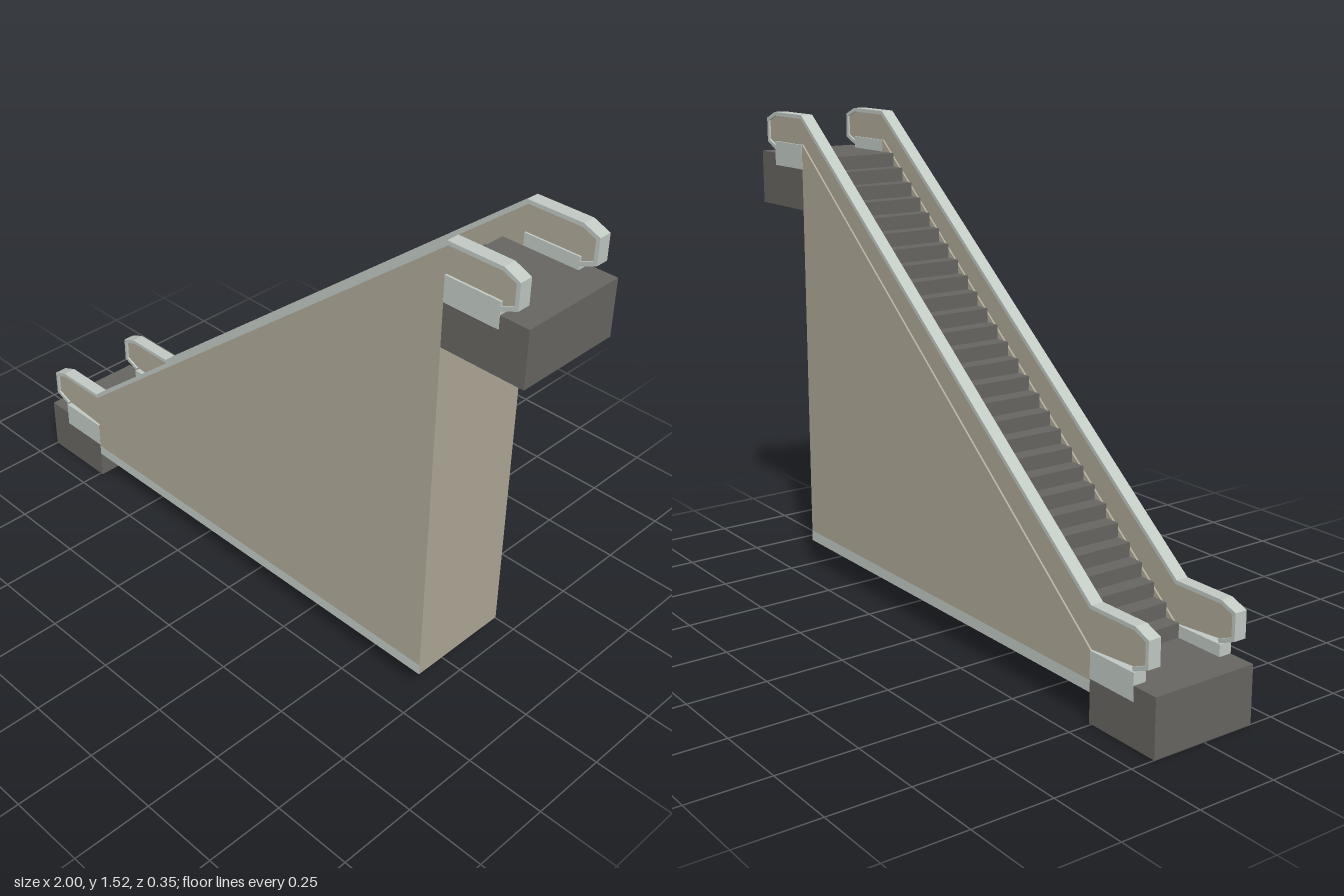
import * as THREE from 'three';

const mat = (name, color) => {
  const m = new THREE.MeshStandardMaterial({ color });
  m.name = name;
  return m;
};

export function createModel() {
  const beige = mat('beige cladding', 0xb0a999);
  const metal = mat('pale metal', 0xc2cac4);
  const dark = mat('dark grey', 0x686662);

  const group = new THREE.Group();
  group.name = 'escalator';
  const W = 0.173, IN = 0.132; // outer and inner faces of the sides
  const X0 = -0.74, X1 = 0.735; // ends of the sloping part

  const add = (name, geometry, material) => {
    const mesh = new THREE.Mesh(geometry, material);
    mesh.name = name;
    group.add(mesh);
    return mesh;
  };
  const box = (name, x0, x1, y0, y1, z0, z1, material) => {
    const mesh = add(name, new THREE.BoxGeometry(x1 - x0, y1 - y0, z1 - z0), material);
    mesh.position.set((x0 + x1) / 2, (y0 + y1) / 2, (z0 + z1) / 2);
  };
  // Side profile extruded across z
  const slab = (name, points, z0, z1, material) => {
    const shape = new THREE.Shape(points.map(([x, y]) => new THREE.Vector2(x, y)));
    const geometry = new THREE.ExtrudeGeometry(shape, { depth: z1 - z0, bevelEnabled: false });
    add(name, geometry.translate(0, 0, z0), material);
  };
  // Moves an open path to its right by d, with mitred corners
  const inset = (path, d) => path.map(([x, y], i) => {
    const normal = (a, b) => new THREE.Vector2(b[1] - a[1], a[0] - b[0]).normalize();
    const n1 = normal(path[Math.max(i - 1, 0)], path[Math.max(i, 1)]);
    const last = path.length - 1;
    const n2 = normal(path[Math.min(i, last - 1)], path[Math.min(i + 1, last)]);
    const k = d / (1 + n1.dot(n2));
    return [x + (n1.x + n2.x) * k, y + (n1.y + n2.y) * k];
  });

  // Landings
  box('lowerLanding', -1, X0, 0, 0.175, -W, W, dark);
  box('upperLanding', X1, 1, 1.22, 1.392, -W, W, dark);

  // Base trim, with its ends clad like the body
  box('baseTrim', X0, X1, 0.09, 0.125, -W, W, [beige, beige, metal, metal, metal, metal]);

  // Body under the stairs
  slab('bodyCore', [[X0, 0.125], [X1, 0.125], [X1, 1.3], [X0, 0.13]], -IN, IN, beige);

  // Stairs: sawtooth top with a straight underside
  const count = 28, startX = -0.755, run = 0.0527, rise = (1.392 - 0.175) / count;
  const stairs = [[startX, 0.15]];
  for (let i = 0; i < count; i++) {
    const x = startX + i * run, y = 0.175 + (i + 1) * rise;
    stairs.push([x, y - rise], [x, y]);
  }
  stairs.push([X1, 1.392], [X1, 1.29], [X0, 0.12]);
  slab('steps', stairs, -IN, IN, dark);

  // Handrail path from the lower end over the top to the upper end
  const rail = [
    [-0.91, 0.213], [-0.968, 0.237], [-0.968, 0.318], [-0.915, 0.339], [X0, 0.339],
    [X1, 1.525], [0.91, 1.525], [0.962, 1.503], [0.962, 1.425], [0.91, 1.403],
  ];
  const inner = inset(rail, 0.012);
  const panel = [...inner, [X1, 1.43], [X0, 0.211]];

  for (const [side, s] of [['left', 1], ['right', -1]]) {
    const span = (a, b) => (s > 0 ? [a, b] : [-b, -a]);
    const wall = [[X0, 0.125], [X1, 0.125], [X1, 1.432], [X0, 0.211]];
    slab(side + 'Wall', wall, ...span(IN, W), beige);
    slab(side + 'Panel', panel, ...span(IN + 0.006, W - 0.006), beige);
    slab(side + 'Handrail', [...rail, ...inner.slice().reverse()], ...span(IN, W), metal);
    box(side + 'LowerPlinth', -0.915, X0, 0.13, 0.211, ...span(IN, W + 0.001), metal);
    box(side + 'UpperPlinth', X1, 0.91, 1.352, 1.43, ...span(IN, W + 0.001), metal);
  }
  return group;
}
